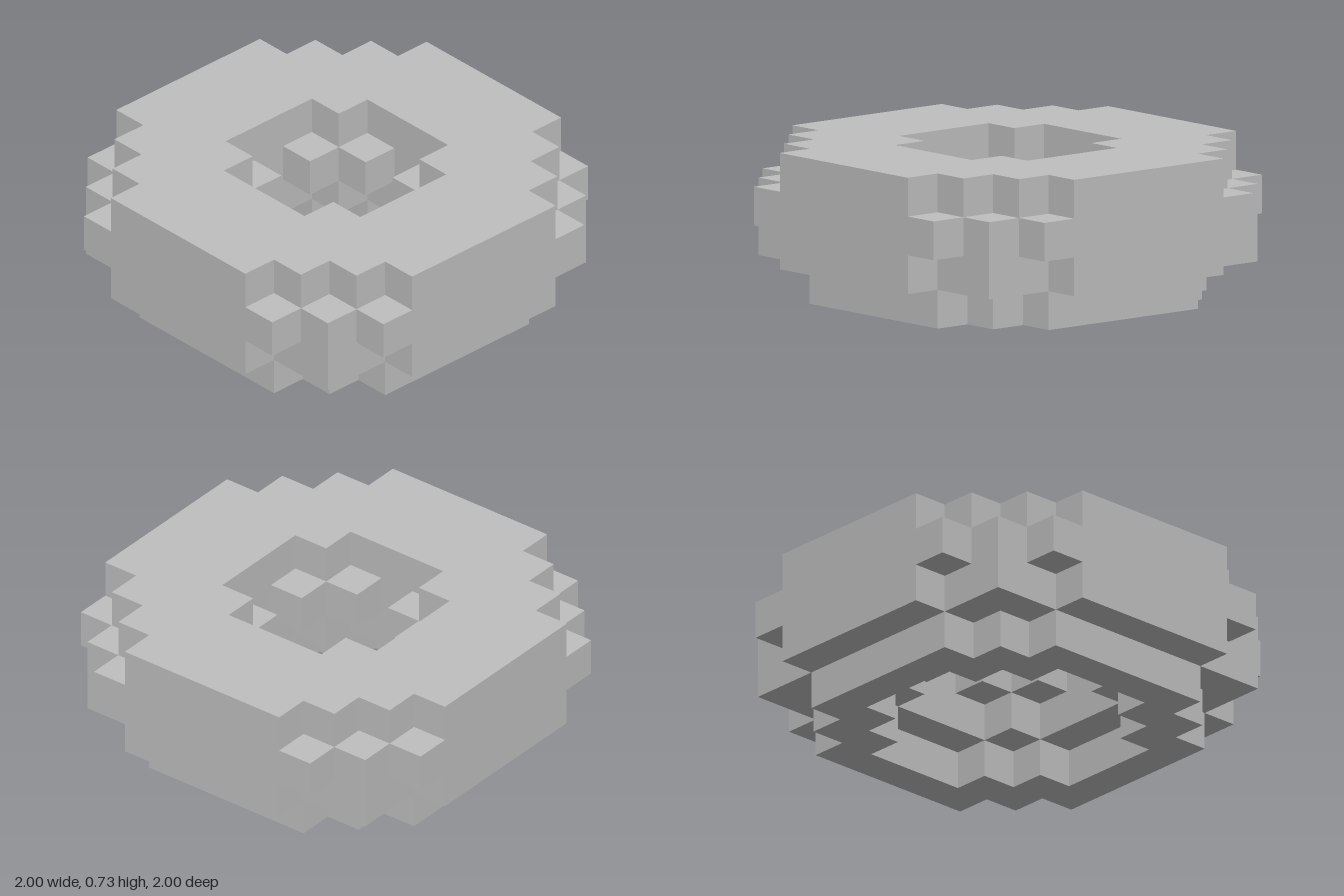
import * as THREE from 'three';

const U = 2 / 11; // edge of one block

// Each layer is a ring: one quarter of its stepped outer and inner outline, in blocks
const LAYERS = [
  {
    name: 'bottomLayer',
    outer: [[4.5, 2.5], [3.5, 2.5], [3.5, 3.5], [2.5, 3.5], [2.5, 4.5]],
    inner: [[3.5, 1.5], [2.5, 1.5], [2.5, 2.5], [1.5, 2.5], [1.5, 3.5]],
  },
  {
    name: 'lowerMiddleLayer',
    outer: [[5.5, 2.5], [4.5, 2.5], [4.5, 4.5], [2.5, 4.5], [2.5, 5.5]],
    inner: [[2.5, 1.5], [1.5, 1.5], [1.5, 2.5]],
  },
  {
    name: 'upperMiddleLayer',
    outer: [[5.5, 3.5], [4.5, 3.5], [4.5, 4.5], [3.5, 4.5], [3.5, 5.5]],
    inner: [[2.5, 0.5], [1.5, 0.5], [1.5, 1.5], [0.5, 1.5], [0.5, 2.5]],
  },
  {
    name: 'topLayer',
    outer: [[5.5, 2.5], [4.5, 2.5], [4.5, 3.5], [3.5, 3.5], [3.5, 4.5], [2.5, 4.5], [2.5, 5.5]],
    inner: [[2.5, 1.5], [1.5, 1.5], [1.5, 2.5]],
  },
];

// Repeat a quarter outline by quarter turns into a closed loop
function fullLoop(quarter) {
  const points = [];
  let part = quarter;
  for (let i = 0; i < 4; i++) {
    points.push(...part.map(([x, y]) => new THREE.Vector2(x * U, y * U)));
    part = part.map(([x, y]) => [-y, x]);
  }
  return points;
}

export function createModel() {
  const model = new THREE.Group();
  model.name = 'blockRing';
  const grey = new THREE.MeshStandardMaterial({ color: 0xbfbfbf });
  grey.name = 'light grey';

  LAYERS.forEach(({ name, outer, inner }, i) => {
    const shape = new THREE.Shape(fullLoop(outer));
    shape.holes.push(new THREE.Path(fullLoop(inner)));
    const geometry = new THREE.ExtrudeGeometry(shape, { depth: U, bevelEnabled: false });
    geometry.rotateX(-Math.PI / 2);
    const layer = new THREE.Mesh(geometry, grey);
    layer.name = name;
    layer.position.y = i * U;
    model.add(layer);
  });
  return model;
}
